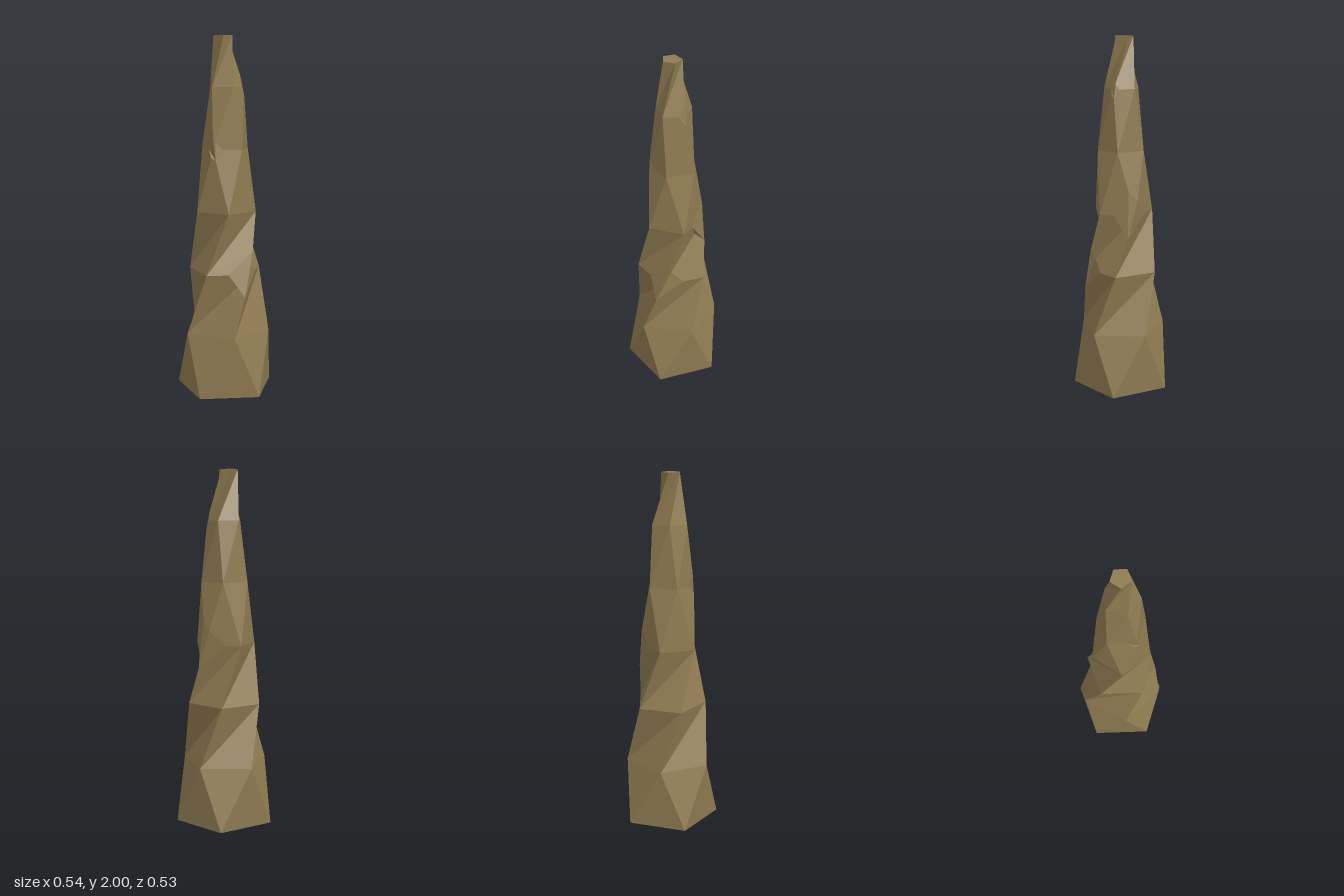
import * as THREE from 'three';

// Cross-sections from the ground up: height, radius, twist in degrees, centre x
const SECTIONS = [
  [0, 0.283, 54, 0], [0.345, 0.247, 84, 0], [0.69, 0.21, 54, 0], [1.03, 0.173, 18, 0],
  [1.38, 0.136, 54, 0], [1.72, 0.1, 72, 0], [2, 0.055, 18, -0.017],
];
const SIDES = 5;
// Chipped corners: section, corner, and cut lengths along [ring, diagonal, lower edge, upper edge]
const CHIPS = [
  [2, 0, [0.5, 0.2, 0.35, 0.35]],
  [3, 4, [0.6, 0.24, 0.38, 0.4]],
  [4, 1, [0.37, 0.12, 0.17, 0.17]],
  [5, 4, [0.27, 0.1, 0.14, 0.2]],
];

function corner(s, k) {
  const [y, r, twist, cx] = SECTIONS[s];
  const a = THREE.MathUtils.degToRad(twist + (360 / SIDES) * k);
  const p = new THREE.Vector3(cx + r * Math.cos(a), y, 0.022 + r * Math.sin(a));
  return { s, k: (k + SIDES) % SIDES, p };
}

const chipAt = (c) => CHIPS.find(([s, k]) => s === c.s && k === c.k);

// Point where the chip on corner v cuts the edge from v to n
function cut(v, n) {
  const [ring, diagonal, lower, upper] = chipAt(v)[2];
  let f = diagonal;
  if (n.s === v.s) f = ring;
  else if (n.k === v.k) f = n.s < v.s ? lower : upper;
  return v.p.clone().lerp(n.p, f);
}

function createTrunkGeometry() {
  const positions = [];
  const fan = (pts) => {
    for (let i = 1; i < pts.length - 1; i++) {
      for (const p of [pts[0], pts[i], pts[i + 1]]) positions.push(p.x, p.y, p.z);
    }
  };
  // A facet whose chipped corners are trimmed off
  const facet = (...corners) => {
    const pts = [];
    corners.forEach((c, i) => {
      const prev = corners[(i + 2) % 3], next = corners[(i + 1) % 3];
      if (chipAt(c)) pts.push(cut(c, prev), cut(c, next));
      else pts.push(c.p);
    });
    fan(pts);
  };

  // Twisted sides
  for (let s = 0; s < SECTIONS.length - 1; s++) {
    for (let k = 0; k < SIDES; k++) {
      const a0 = corner(s, k), a1 = corner(s, k + 1);
      const b0 = corner(s + 1, k), b1 = corner(s + 1, k + 1);
      facet(a1, a0, b0);
      facet(a1, b0, b1);
    }
  }

  // Bevelled faces of the chips
  for (const [s, k] of CHIPS) {
    const v = corner(s, k);
    const around = [[s - 1, k], [s, k - 1], [s + 1, k - 1], [s + 1, k], [s, k + 1], [s - 1, k + 1]];
    fan(around.map(([ns, nk]) => cut(v, corner(ns, nk))));
  }

  // Flat base and tip
  const ringPoints = (s) => Array.from({ length: SIDES }, (_, k) => corner(s, k).p);
  fan(ringPoints(0));
  fan(ringPoints(SECTIONS.length - 1).reverse());

  const geometry = new THREE.BufferGeometry();
  geometry.setAttribute('position', new THREE.Float32BufferAttribute(positions, 3));
  geometry.computeVertexNormals();
  return geometry;
}

export function createModel() {
  const group = new THREE.Group();
  group.name = 'twistedSpire';
  const material = new THREE.MeshStandardMaterial({ color: 0x8f7b51, flatShading: true });
  const trunk = new THREE.Mesh(createTrunkGeometry(), material);
  trunk.name = 'trunk';
  group.add(trunk);
  return group;
}
